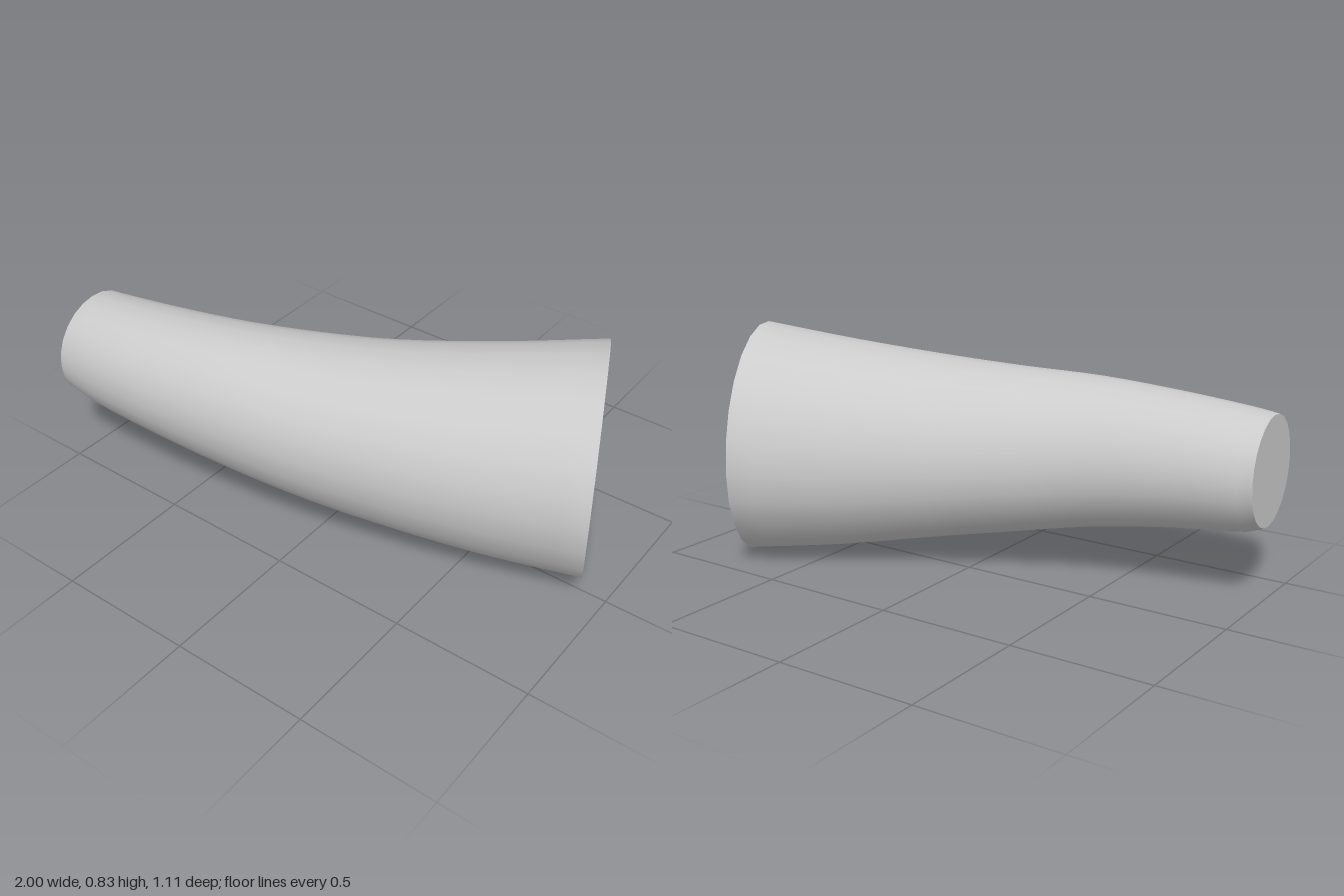
import * as THREE from 'three';

// Cross-sections from the narrow end to the wide end:
// back edge x, z; front edge x, z; top y, bottom y
const SECTIONS = [
  [-1.0, 0.145, -0.97, 0.54, 0.635, 0.25],
  [-0.95, 0.135, -0.9, 0.546, 0.643, 0.23],
  [-0.7, 0.09, -0.65, 0.55, 0.668, 0.205],
  [-0.42, 0.02, -0.3, 0.525, 0.695, 0.165],
  [-0.15, -0.1, 0.0, 0.48, 0.71, 0.118],
  [0.05, -0.2, 0.27, 0.422, 0.73, 0.082],
  [0.35, -0.375, 0.65, 0.315, 0.775, 0.03],
  [0.645, -0.555, 0.998, 0.205, 0.83, 0.0],
];
const SIDES = 24, STEPS = 28;

const back = new THREE.CatmullRomCurve3(SECTIONS.map(s => new THREE.Vector3(s[0], s[4], s[1])));
const front = new THREE.CatmullRomCurve3(SECTIONS.map(s => new THREE.Vector3(s[2], s[5], s[3])));

// Slightly sheared ellipse spanning the back and front edges at t
function ring(t) {
  const b = back.getPoint(t), f = front.getPoint(t);
  const mid = b.clone().add(f).multiplyScalar(0.5);
  const half = f.clone().sub(b).multiplyScalar(0.5);
  const height = -half.y;
  return Array.from({ length: SIDES }, (_, j) => {
    const a = (j / SIDES) * Math.PI * 2, c = Math.cos(a);
    return new THREE.Vector3(
      mid.x + half.x * c,
      mid.y + height * Math.sin(a) + 0.04 * t * c,
      mid.z + half.z * c);
  });
}

function makeMesh(name, points, index) {
  const geometry = new THREE.BufferGeometry().setFromPoints(points);
  geometry.setIndex(index);
  geometry.computeVertexNormals();
  const mesh = new THREE.Mesh(geometry, new THREE.MeshStandardMaterial({ color: 0xcccccc }));
  mesh.name = name;
  return mesh;
}

// Flat disc closing one end
function makeCap(name, t, facesRight) {
  const rim = ring(t);
  const centre = rim.reduce((sum, p) => sum.add(p), new THREE.Vector3()).divideScalar(SIDES);
  const index = [];
  for (let j = 0; j < SIDES; j++) {
    const k = (j + 1) % SIDES;
    index.push(SIDES, ...(facesRight ? [k, j] : [j, k]));
  }
  return makeMesh(name, [...rim, centre], index);
}

export function createModel() {
  const model = new THREE.Group();
  model.name = 'curvedTaperedLimb';

  // Smooth bent side wall
  const points = [], index = [];
  for (let i = 0; i <= STEPS; i++) {
    points.push(...ring(i / STEPS));
    if (i === STEPS) break;
    for (let j = 0; j < SIDES; j++) {
      const k = (j + 1) % SIDES, r = i * SIDES, n = r + SIDES;
      index.push(r + j, n + j, r + k, n + j, n + k, r + k);
    }
  }
  model.add(makeMesh('sideWall', points, index));

  // End faces
  model.add(makeCap('narrowEnd', 0, false), makeCap('wideEnd', 1, true));
  return model;
}
